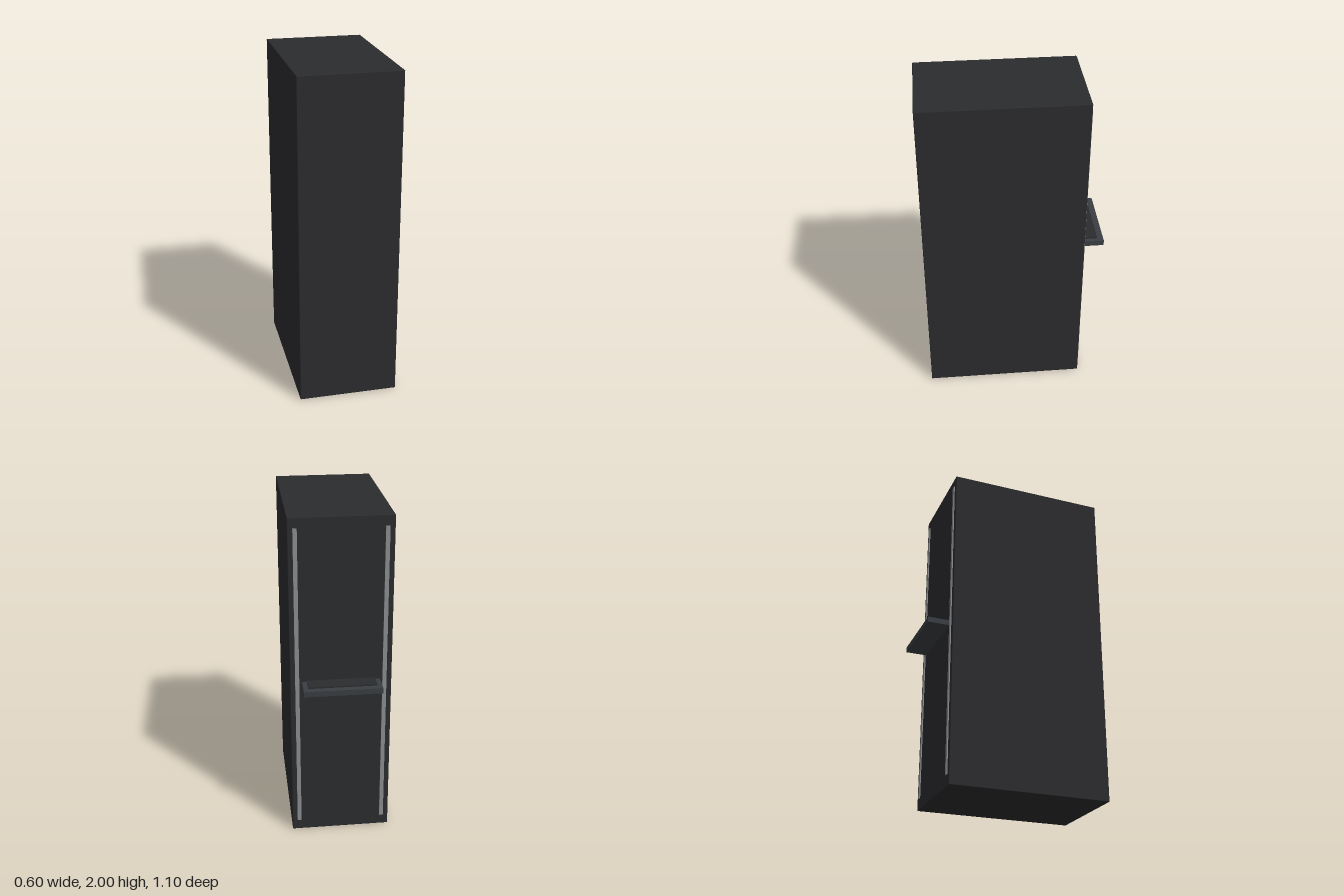
import * as THREE from 'three';
import { RoundedBoxGeometry } from 'three/addons/geometries/RoundedBoxGeometry.js';

const material = (color) => new THREE.MeshStandardMaterial({ color });

// Box given by its lower and upper corners, with a fine edge bevel
function block(name, min, max, mat, bevel) {
  const size = max.map((v, i) => v - min[i]);
  const geometry = bevel
    ? new RoundedBoxGeometry(size[0], size[1], size[2], 2, bevel)
    : new THREE.BoxGeometry(...size);
  const mesh = new THREE.Mesh(geometry, mat);
  mesh.name = name;
  mesh.position.set(...max.map((v, i) => (v + min[i]) / 2));
  return mesh;
}

export function createModel() {
  const model = new THREE.Group();
  model.name = 'cabinet';
  const shell = material(0x2b2c2e);
  const metal = material(0x8c8e90);
  const trayGrey = material(0x3a3e42);

  // Tall closed cabinet
  model.add(block('cabinetBody', [-0.298, 0, -0.42], [0.298, 2, 0.547], shell, 0.004));

  // Slim mounting rails on the back
  for (const side of [-1, 1]) {
    const x = side * 0.256;
    model.add(block(side > 0 ? 'leftRail' : 'rightRail',
      [x - 0.012, 0.065, -0.426], [x + 0.012, 1.94, -0.41], metal));
  }

  // Pull-out tray with a raised pad
  const shelf = new THREE.Group();
  shelf.name = 'pullOutShelf';
  shelf.add(block('tray', [-0.229, 0.984, -0.55], [0.229, 1.017, -0.41], trayGrey));
  shelf.add(block('trayPad', [-0.2, 1.01, -0.512], [0.2, 1.026, -0.41], shell));
  model.add(shelf);

  return model;
}
